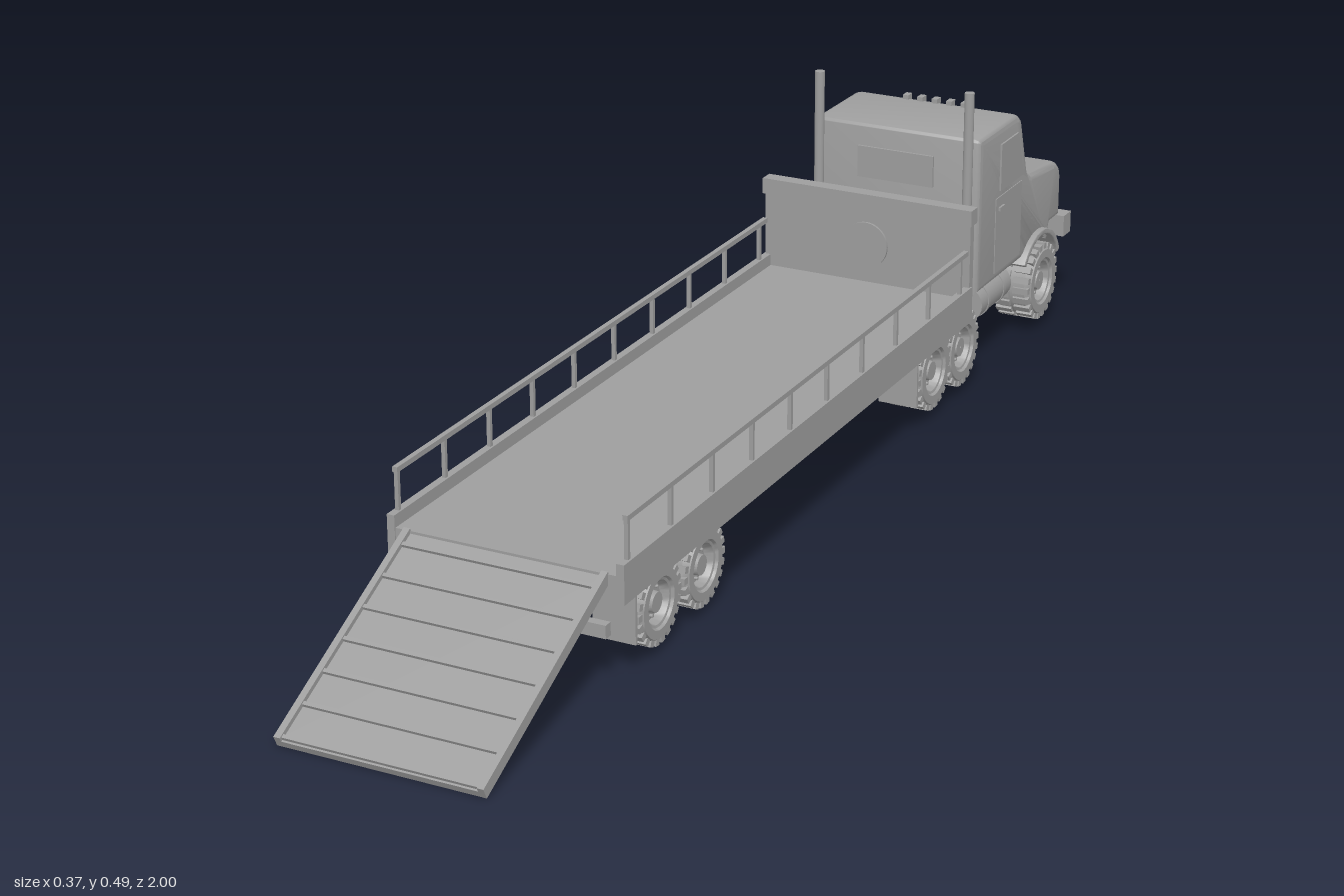
import * as THREE from 'three';
import { toCreasedNormals } from 'three/addons/utils/BufferGeometryUtils.js';

const grey = new THREE.MeshStandardMaterial({ color: 0x9e9e9e });
grey.name = 'plain grey';

function add(parent, name, geo, x = 0, y = 0, z = 0) {
  const m = new THREE.Mesh(geo, grey);
  m.name = name;
  m.position.set(x, y, z);
  parent.add(m);
  return m;
}
// Box given by its min/max on each axis
function box(parent, name, x0, x1, y0, y1, z0, z1) {
  return add(parent, name, new THREE.BoxGeometry(x1 - x0, y1 - y0, z1 - z0),
    (x0 + x1) / 2, (y0 + y1) / 2, (z0 + z1) / 2);
}
// Cylinder along the chosen axis
function rod(parent, name, axis, r, len, x, y, z, seg = 20) {
  const g = new THREE.CylinderGeometry(r, r, len, seg);
  if (axis === 'x') g.rotateZ(Math.PI / 2);
  if (axis === 'z') g.rotateX(Math.PI / 2);
  return add(parent, name, g, x, y, z);
}
// Side profile (forward, up) extruded across x
function sideExtrude(shape, width, bevel) {
  const g = new THREE.ExtrudeGeometry(shape, {
    depth: width - 2 * bevel, bevelEnabled: bevel > 0, bevelSize: bevel,
    bevelThickness: bevel, bevelOffset: -bevel, bevelSegments: 3, curveSegments: 16,
  });
  g.translate(0, 0, -(width - 2 * bevel) / 2);
  g.rotateY(Math.PI / 2);
  return toCreasedNormals(g, 0.6);
}

// Wheel with dished rim, hub, bolts and staggered tread lugs; outer side is +x
function makeWheel(r, w) {
  const g = new THREE.Group();
  g.name = 'wheel';
  const h = w / 2, R = r - 0.004;
  const pts = [[0.001, -h * 0.7], [r * 0.55, -h * 0.7], [r * 0.6, -h], [R * 0.88, -h], [R, -h * 0.7],
    [R, h * 0.7], [R * 0.88, h], [r * 0.62, h], [r * 0.58, h * 0.88], [r * 0.52, h * 0.85],
    [r * 0.46, h * 0.45], [r * 0.26, h * 0.45], [r * 0.24, h * 0.8], [0.001, h * 0.8]];
  const tyre = new THREE.LatheGeometry(pts.map(p => new THREE.Vector2(...p)), 36);
  tyre.rotateZ(-Math.PI / 2);
  add(g, 'tyre', toCreasedNormals(tyre, 0.5));
  const n = 22;
  for (let i = 0; i < n * 2; i++) {
    const a = i * Math.PI / n, s = i % 2 ? 1 : -1;
    const lug = add(g, 'treadLug', new THREE.BoxGeometry(h * 0.85, 0.01, r * 0.16),
      s * h * 0.52, Math.cos(a) * (r - 0.005), Math.sin(a) * (r - 0.005));
    lug.rotation.x = a;
  }
  for (let i = 0; i < 8; i++) {
    const a = i * Math.PI / 4;
    rod(g, 'wheelBolt', 'x', 0.0025, 0.008, h * 0.48, Math.cos(a) * r * 0.36, Math.sin(a) * r * 0.36, 8);
  }
  return g;
}

function addAxle(parent, z, y, r) {
  rod(parent, 'axle', 'x', 0.009, 0.22, 0, y, z);
  const hub = add(parent, 'differential', new THREE.SphereGeometry(0.02, 16, 12), 0, y, z);
  hub.scale.x = 1.2;
  for (const s of [-1, 1]) {
    const w = makeWheel(r, 0.066);
    w.position.set(s * 0.13, y, z);
    if (s < 0) w.rotation.y = Math.PI;
    parent.add(w);
  }
}

function makeCab() {
  const g = new THREE.Group();
  g.name = 'cab';
  // Body with bonnet and front wheel arch
  const s = new THREE.Shape();
  s.moveTo(0.605, 0.139);
  s.lineTo(0.605, 0.395);
  s.quadraticCurveTo(0.605, 0.406, 0.616, 0.406);
  s.lineTo(0.755, 0.405);
  s.quadraticCurveTo(0.78, 0.404, 0.787, 0.385);
  s.lineTo(0.815, 0.298);
  s.quadraticCurveTo(0.82, 0.283, 0.84, 0.281);
  s.lineTo(0.93, 0.273);
  s.quadraticCurveTo(0.968, 0.268, 0.97, 0.235);
  s.lineTo(0.97, 0.165);
  s.lineTo(0.925, 0.165);
  s.lineTo(0.915, 0.14);
  s.absarc(0.863, 0.083, 0.077, 0.83, Math.PI - 0.83, false);
  s.lineTo(0.79, 0.139);
  s.closePath();
  add(g, 'cabBody', sideExtrude(s, 0.296, 0.012));

  // Windscreen, following the slope between roof and bonnet
  const slope = Math.atan2(0.028, 0.087);
  const screen = add(g, 'windscreen', new THREE.BoxGeometry(0.25, 0.078, 0.006), 0, 0.342, -0.801);
  screen.rotation.x = slope;
  box(g, 'rearWindow', -0.067, 0.067, 0.315, 0.368, -0.606, -0.601);
  for (const d of [-1, 1]) {
    // Door, window and handle
    const win = new THREE.Shape([[0.69, 0.295], [0.69, 0.375], [0.762, 0.375], [0.788, 0.295]]
      .map(p => new THREE.Vector2(...p)));
    add(g, 'sideWindow', sideExtrude(win, 0.006, 0), d * 0.148, 0, 0);
    box(g, 'door', d * 0.148 - 0.0015, d * 0.148 + 0.0015, 0.155, 0.285, -0.785, -0.675);
    box(g, 'doorHandle', d * 0.15 - 0.003, d * 0.15 + 0.003, 0.262, 0.268, -0.705, -0.685);
    // Arched mudguard
    const f = new THREE.Shape();
    f.absarc(0.863, 0.083, 0.09, 0.35, Math.PI - 0.6, false);
    f.absarc(0.863, 0.083, 0.08, Math.PI - 0.6, 0.35, true);
    add(g, 'frontMudguard', sideExtrude(f, 0.066, 0.002), d * 0.125, 0, 0);
    // Headlights, fuel tanks, exhausts
    rod(g, 'headlightRim', 'z', 0.02, 0.012, d * 0.115, 0.212, -0.972, 28);
    const lamp = add(g, 'headlight', new THREE.SphereGeometry(0.016, 20, 12), d * 0.115, 0.212, -0.977);
    lamp.scale.z = 0.4;
    rod(g, 'fuelTank', 'z', 0.031, 0.125, d * 0.115, 0.111, -0.697, 28);
    for (const z of [-0.665, -0.73]) rod(g, 'tankStrap', 'z', 0.0325, 0.008, d * 0.115, 0.111, z, 28);
    rod(g, 'exhaustStack', 'y', 0.008, 0.36, d * 0.132, 0.308, -0.592);
    box(g, 'exhaustBracket', d * 0.132 - 0.005, d * 0.132 + 0.005, 0.2, 0.21, -0.608, -0.59);
    box(g, 'bumperBracket', d * 0.07 - 0.01, d * 0.07 + 0.01, 0.132, 0.16, -0.975, -0.9);
  }
  // Nose details and roof lamps
  box(g, 'grille', -0.072, 0.072, 0.175, 0.238, -0.976, -0.968);
  rod(g, 'noseDisc', 'z', 0.021, 0.006, 0, 0.262, -0.97, 32);
  box(g, 'bumper', -0.156, 0.156, 0.128, 0.165, -1, -0.968);
  for (let i = -2; i <= 2; i++) box(g, 'roofLamp', i * 0.026 - 0.005, i * 0.026 + 0.005, 0.402, 0.412, -0.773, -0.757);
  return g;
}

function makeBed() {
  const g = new THREE.Group();
  g.name = 'bed';
  box(g, 'deck', -0.176, 0.176, 0.164, 0.178, -0.5, 0.668);
  box(g, 'rearSill', -0.176, 0.176, 0.14, 0.178, 0.655, 0.668);
  // Headboard with thick top edge and round panel
  box(g, 'headboard', -0.181, 0.181, 0.14, 0.327, -0.507, -0.493);
  box(g, 'headboardCap', -0.184, 0.184, 0.302, 0.328, -0.512, -0.488);
  rod(g, 'headboardDisc', 'z', 0.038, 0.006, 0, 0.242, -0.492, 40);
  for (const d of [-1, 1]) {
    const x = d * 0.1775;
    box(g, 'sideBeam', x - 0.006, x + 0.006, 0.138, 0.197, -0.5, 0.67);
    box(g, 'handrail', x - 0.004, x + 0.004, 0.254, 0.262, -0.485, 0.655);
    for (let i = 0; i < 10; i++) {
      const z = 0.65 - i * 0.1235;
      box(g, 'railPost', x - 0.003, x + 0.003, 0.19, 0.258, z - 0.003, z + 0.003);
    }
    // Frame rail below the deck
    box(g, 'bedFrameRail', d * 0.075 - 0.009, d * 0.075 + 0.009, 0.128, 0.165, -0.48, 0.65);
    // Legs, mudflaps and rear guard supports
    box(g, 'landingLeg', d * 0.11 - 0.009, d * 0.11 + 0.009, 0.09, 0.165, -0.31, -0.292);
    box(g, 'landingFoot', d * 0.11 - 0.014, d * 0.11 + 0.014, 0.082, 0.09, -0.315, -0.287);
    box(g, 'frontMudflap', d * 0.13 - 0.033, d * 0.13 + 0.033, 0.045, 0.165, -0.339, -0.334);
    box(g, 'rearMudflap', d * 0.13 - 0.033, d * 0.13 + 0.033, 0.045, 0.165, 0.597, 0.602);
    box(g, 'rearGuardPost', d * 0.1 - 0.007, d * 0.1 + 0.007, 0.09, 0.15, 0.65, 0.66);
  }
  box(g, 'rearGuard', -0.15, 0.15, 0.078, 0.098, 0.648, 0.662);
  return g;
}

function makeRamp() {
  const g = new THREE.Group();
  g.name = 'ramp';
  const L = 0.37;
  box(g, 'rampPlate', -0.156, 0.156, -0.009, 0.002, -L / 2, L / 2);
  for (const d of [-1, 1]) box(g, 'rampEdge', d * 0.153 - 0.005, d * 0.153 + 0.005, -0.009, 0.009, -L / 2, L / 2);
  for (let i = 0; i < 7; i++) {
    const z = -L / 2 + 0.03 + i * 0.0565 - 0.005;
    box(g, 'rampCleat', -0.15, 0.15, 0, 0.007, z - 0.003, z + 0.003);
  }
  g.position.set(0, 0.092, 0.83);
  g.rotation.x = 0.458;
  return g;
}

export function createModel() {
  const truck = new THREE.Group();
  truck.name = 'flatbedTruck';
  truck.add(makeCab(), makeBed(), makeRamp());

  // Tractor chassis
  for (const d of [-1, 1]) box(truck, 'chassisRail', d * 0.06 - 0.009, d * 0.06 + 0.009, 0.105, 0.139, -0.95, -0.36);
  for (const z of [-0.93, -0.78, -0.64, -0.37]) box(truck, 'crossMember', -0.06, 0.06, 0.11, 0.13, z - 0.008, z + 0.008);
  box(truck, 'couplingPlate', -0.08, 0.08, 0.125, 0.145, -0.56, -0.4);

  // Axles with wheels
  addAxle(truck, -0.863, 0.083, 0.066);
  addAxle(truck, -0.522, 0.081, 0.064);
  addAxle(truck, -0.408, 0.081, 0.064);
  addAxle(truck, 0.393, 0.076, 0.062);
  addAxle(truck, 0.527, 0.076, 0.062);

  // Suspension links from the axles to the frame
  for (const z of [-0.522, -0.408, 0.393, 0.527]) {
    for (const d of [-1, 1]) box(truck, 'suspensionLink', d * 0.07 - 0.006, d * 0.07 + 0.006, 0.08, 0.135, z - 0.01, z + 0.01);
  }
  return truck;
}
